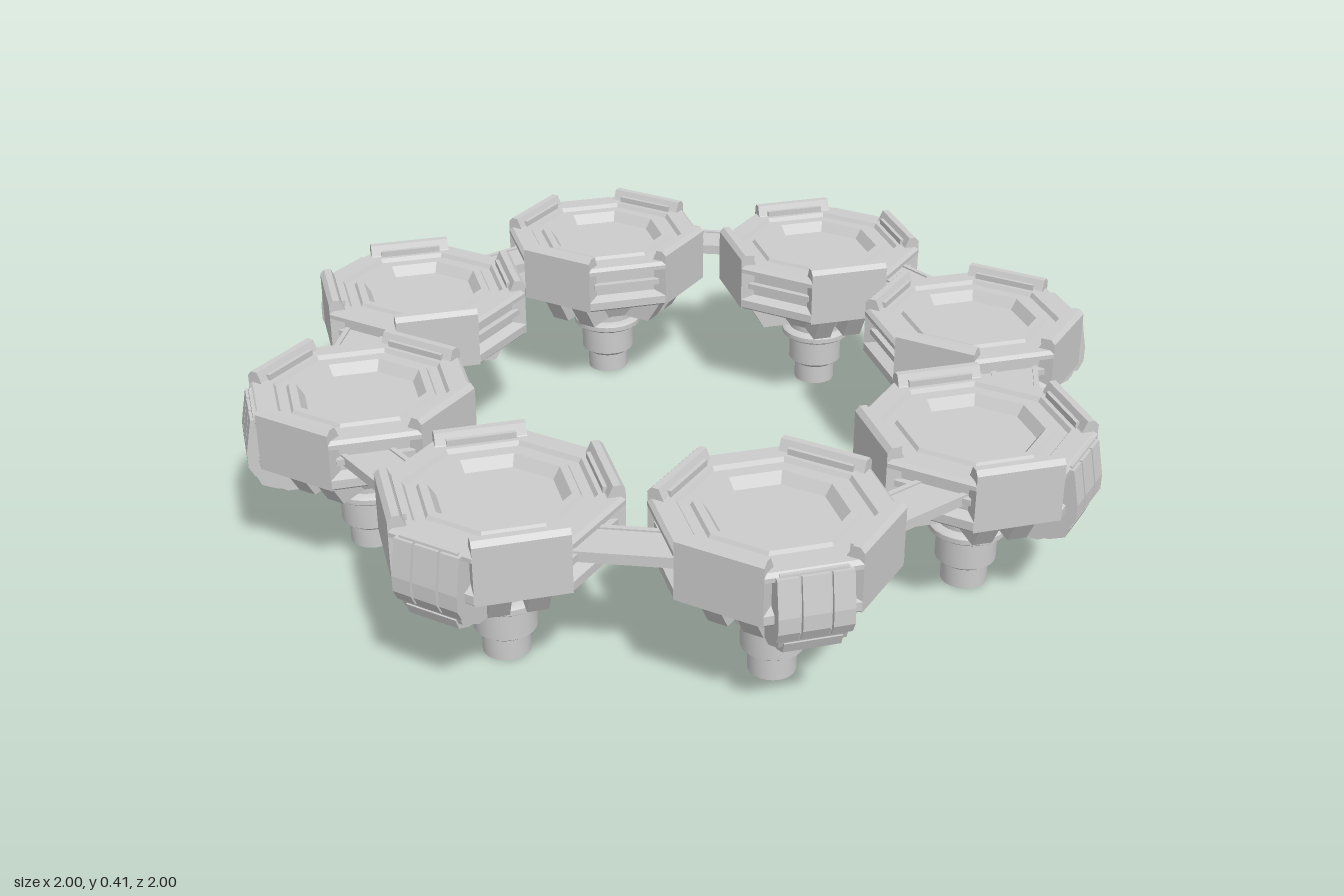
import * as THREE from 'three';
import { toCreasedNormals } from 'three/addons/utils/BufferGeometryUtils.js';

const flat = new THREE.MeshStandardMaterial({ color: 0xcccccc, flatShading: true });
const smooth = new THREE.MeshStandardMaterial({ color: 0xcccccc });
const PODS = 8, POD_RADIUS = 0.735;
const OCT = Math.cos(Math.PI / 8);

function add(parent, name, geometry, material = flat) {
  const mesh = new THREE.Mesh(geometry, material);
  mesh.name = name;
  parent.add(mesh);
  return mesh;
}

// Octagonal solid with flats on the axes; profile is [apothem, height], bottom to top
function octagon(profile) {
  const points = profile.map(([r, y]) => new THREE.Vector2(r / OCT, y));
  return new THREE.LatheGeometry(points, 8, Math.PI / 8);
}

// Extrudes a [distance outward, height] outline sideways, centred on x
function slab(outline, width, x = 0) {
  const shape = new THREE.Shape(outline.map(([r, y]) => new THREE.Vector2(r, y)));
  const geometry = new THREE.ExtrudeGeometry(shape, { depth: width, bevelEnabled: false });
  return geometry.translate(0, 0, -width / 2).rotateY(-Math.PI / 2).translate(x, 0, 0);
}

// Octagonal housing: underside hull, recessed waist, rim and stepped dish
const housingGeometry = octagon([
  [0, 0.19], [0.11, 0.19], [0.15, 0.27], [0.235, 0.27], [0.24, 0.275],
  [0.24, 0.295], [0.215, 0.305], [0.215, 0.36], [0.24, 0.37], [0.24, 0.38],
  [0.232, 0.388], [0.188, 0.388], [0.182, 0.378], [0.16, 0.378],
  [0.155, 0.386], [0.138, 0.386], [0.122, 0.362], [0, 0.362],
]);

// Corner clamps that stand above the rim
const clampGeometry = slab([
  [0.195, 0.27], [0.24, 0.27], [0.24, 0.403], [0.23, 0.414],
  [0.214, 0.414], [0.203, 0.39], [0.195, 0.38],
], 0.197);
const clampLipGeometry = slab([[0.198, 0.38], [0.207, 0.38], [0.207, 0.402], [0.198, 0.402]], 0.15);

// Slanted ribs on the underside
const ribGeometry = slab([[0.05, 0.19], [0.165, 0.19], [0.215, 0.272], [0.05, 0.272]], 0.045);

// Outer hatch: backing, three raised strips and a lower vent
const hatchGeometry = slab([
  [0.19, 0.385], [0.243, 0.385], [0.255, 0.30], [0.255, 0.255],
  [0.24, 0.22], [0.185, 0.19], [0.15, 0.19], [0.15, 0.27],
], 0.14);
const stripOutline = [[0.22, 0.38], [0.25, 0.38], [0.265, 0.30], [0.265, 0.265], [0.252, 0.24], [0.22, 0.24]];
const ventOutline = [[0.19, 0.232], [0.25, 0.232], [0.24, 0.207], [0.205, 0.192], [0.18, 0.192]];

// Turned stem with flange and hollow foot
const stemGeometry = toCreasedNormals(new THREE.LatheGeometry([
  [0, 0.025], [0.043, 0.025], [0.047, 0], [0.052, 0], [0.052, 0.048], [0.068, 0.06],
  [0.068, 0.122], [0.08, 0.128], [0.088, 0.134], [0.088, 0.146], [0.08, 0.152],
  [0.07, 0.154], [0.07, 0.168], [0.078, 0.172], [0.078, 0.2], [0, 0.2],
].map(([r, y]) => new THREE.Vector2(r, y)), 24), 0.5);

function createPod() {
  const pod = new THREE.Group();
  pod.name = 'pod';
  add(pod, 'housing', housingGeometry);
  add(pod, 'stem', stemGeometry, smooth);

  for (let i = 0; i < 4; i++) {
    const angle = Math.PI / 4 + i * Math.PI / 2;
    const corner = new THREE.Group();
    corner.name = 'corner';
    corner.rotation.y = angle;
    add(corner, 'clamp', clampGeometry);
    add(corner, 'clampLip', clampLipGeometry);
    for (const side of [-1, 1]) add(corner, 'rib', ribGeometry).position.x = side * 0.04;
    pod.add(corner);
  }

  const hatch = new THREE.Group();
  hatch.name = 'hatch';
  add(hatch, 'hatchBacking', hatchGeometry);
  for (const x of [-0.056, 0, 0.056]) add(hatch, 'hatchStrip', slab(stripOutline, x ? 0.044 : 0.056, x));
  add(hatch, 'vent', slab(ventOutline, 0.12));
  pod.add(hatch);

  // Horizontal rail across each open side of the waist
  for (const turn of [1, 2, 3]) {
    const rail = add(pod, 'waistRail', new THREE.BoxGeometry(0.17, 0.014, 0.03));
    rail.geometry.translate(0, 0.332, 0.215);
    rail.rotation.y = turn * Math.PI / 2;
  }
  return pod;
}

export function createModel() {
  const model = new THREE.Group();
  model.name = 'podRing';

  for (let i = 0; i < PODS; i++) {
    const angle = i * Math.PI * 2 / PODS;
    const pod = createPod();
    pod.position.set(Math.sin(angle) * POD_RADIUS, 0, Math.cos(angle) * POD_RADIUS);
    pod.rotation.y = angle;
    model.add(pod);

    // Flat connecting beam with a raised lip along each edge
    const beam = new THREE.Group();
    beam.name = 'beam';
    beam.rotation.y = angle + Math.PI / PODS;
    const plate = add(beam, 'beamPlate', new THREE.BoxGeometry(0.44, 0.016, 0.105));
    plate.position.set(0, 0.332, 0.775);
    for (const z of [0.727, 0.823]) {
      add(beam, 'beamLip', new THREE.BoxGeometry(0.44, 0.024, 0.012)).position.set(0, 0.332, z);
    }
    model.add(beam);
  }
  return model;
}
